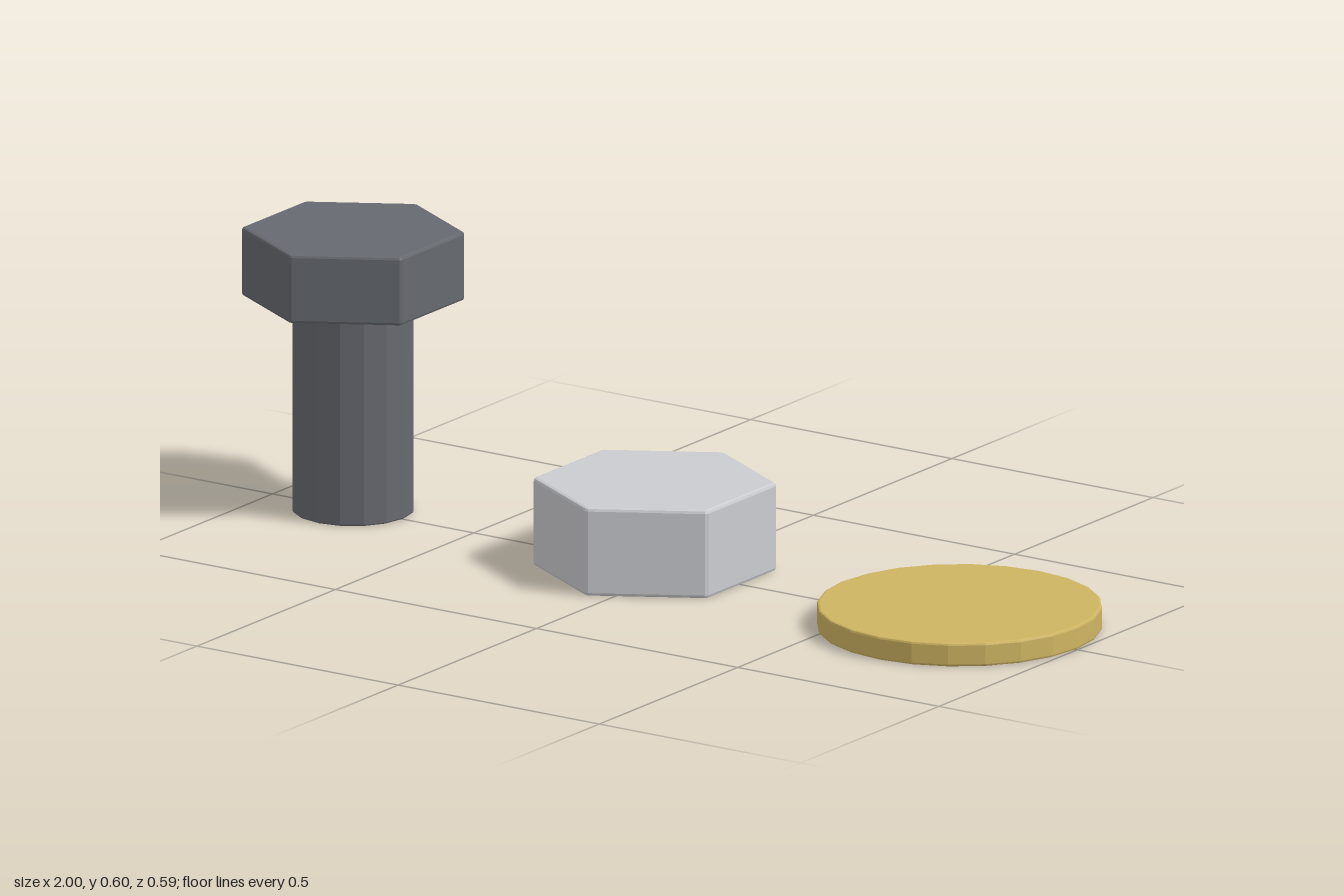
import * as THREE from 'three';

const steel = new THREE.MeshStandardMaterial({ color: 0x66696f });
steel.name = 'dark steel';
const zinc = new THREE.MeshStandardMaterial({ color: 0xcbccd0 });
zinc.name = 'pale zinc';
const brass = new THREE.MeshStandardMaterial({ color: 0xceb462 });
brass.name = 'brass';

// Upright faceted prism with bevelled rims; cut trims its vertical corners.
function prism(name, material, sides, radius, y0, y1, bevel, cut = 0) {
  const corner = (i) => {
    const a = Math.PI / 2 + (i * 2 * Math.PI) / sides;
    return new THREE.Vector2(Math.cos(a) * radius, Math.sin(a) * radius);
  };
  const edge = 2 * radius * Math.sin(Math.PI / sides);
  const points = [];
  for (let i = 0; i < sides; i++) {
    const p = corner(i);
    if (cut > 0) {
      points.push(p.clone().lerp(corner(i - 1), cut / edge), p.clone().lerp(corner(i + 1), cut / edge));
    } else points.push(p);
  }
  const geometry = new THREE.ExtrudeGeometry(new THREE.Shape(points), {
    depth: y1 - y0 - 2 * bevel,
    bevelEnabled: true,
    bevelThickness: bevel,
    bevelSize: bevel,
    bevelOffset: -bevel,
    bevelSegments: 2,
  });
  geometry.translate(0, 0, bevel);
  geometry.rotateX(-Math.PI / 2);
  geometry.translate(0, y0, 0);
  const mesh = new THREE.Mesh(geometry, material);
  mesh.name = name;
  return mesh;
}

export function createModel() {
  const model = new THREE.Group();
  model.name = 'fasteners';

  // Bolt: hexagonal head on a round shaft
  const bolt = new THREE.Group();
  bolt.name = 'bolt';
  bolt.position.x = -0.8;
  bolt.add(
    prism('boltHead', steel, 6, 0.23, 0.452, 0.598, 0.006, 0.004),
    prism('boltShaft', steel, 16, 0.126, 0, 0.46, 0.004),
  );

  // Solid hexagonal nut
  const nut = prism('nut', zinc, 6, 0.251, 0, 0.188, 0.007, 0.005);
  nut.position.x = -0.05;

  // Flat round disc
  const washer = prism('washer', brass, 24, 0.293, 0, 0.05, 0.005);
  washer.position.x = 0.707;

  model.add(bolt, nut, washer);
  return model;
}
